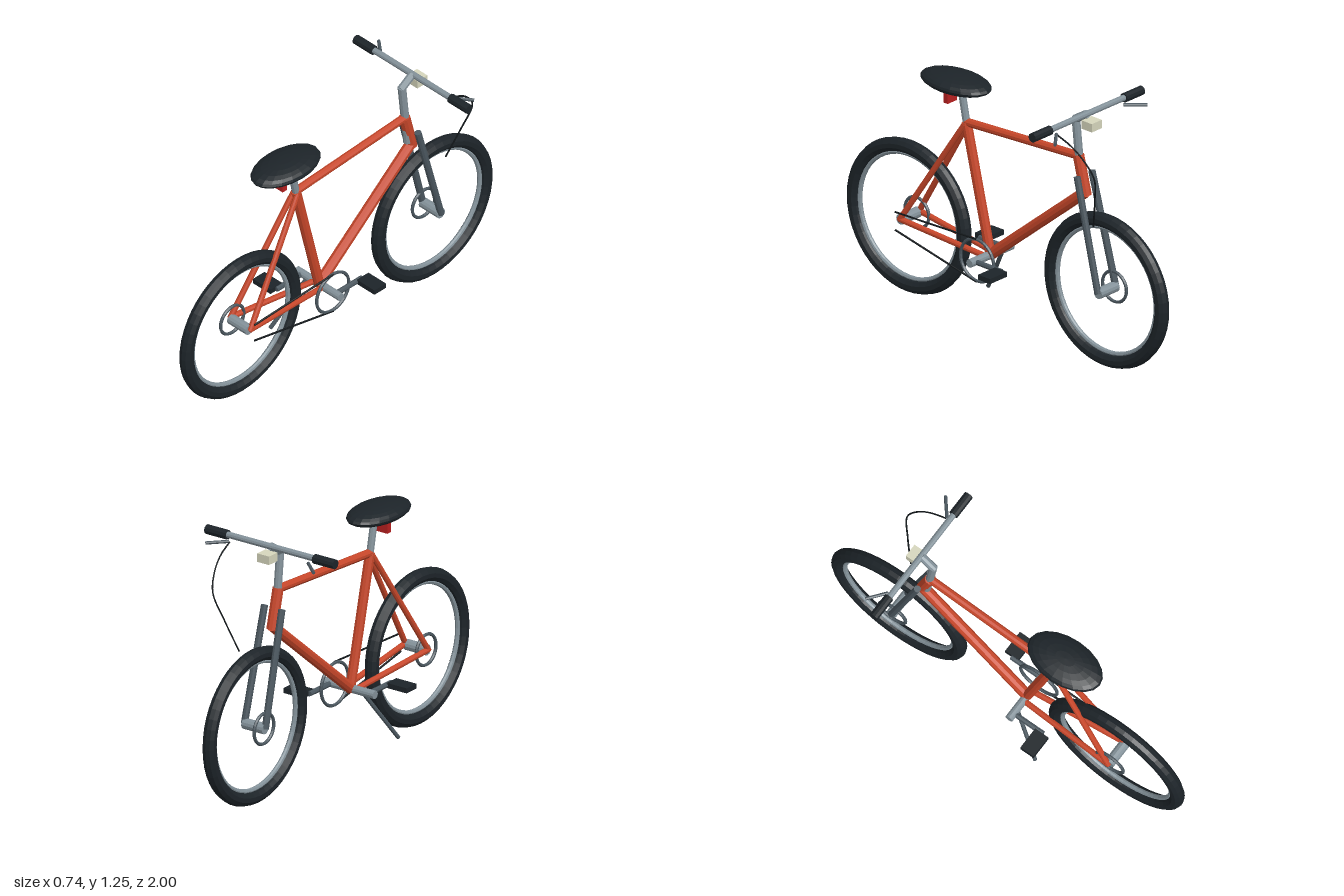
import * as THREE from 'three';

const mat = (color) => {
  const m = new THREE.MeshStandardMaterial({ color, flatShading: true });
  return m;
};

export function createModel() {
  const bike = new THREE.Group();
  bike.name = 'bicycle';
  const paint = mat(0xc8472a), steel = mat(0x84929a), darkSteel = mat(0x4b575f);
  const rubber = mat(0x1d2429), black = mat(0x12171a), red = mat(0xb82020), cream = mat(0xd6d6bd);

  const add = (name, geometry, material, x = 0, y = 0, z = 0, parent = bike) => {
    const mesh = new THREE.Mesh(geometry, material);
    mesh.name = name;
    mesh.position.set(x, y, z);
    parent.add(mesh);
    return mesh;
  };

  // Straight round tube between two points
  const rod = (name, a, b, r, material, parent = bike, sides = 10) => {
    const p = new THREE.Vector3(...a), q = new THREE.Vector3(...b);
    const d = q.clone().sub(p);
    const mesh = add(name, new THREE.CylinderGeometry(r, r, d.length(), sides), material, 0, 0, 0, parent);
    mesh.position.copy(p).add(q).multiplyScalar(0.5);
    mesh.quaternion.setFromUnitVectors(new THREE.Vector3(0, 1, 0), d.normalize());
    return mesh;
  };

  // Ring whose axle runs along x
  const ring = (name, R, tube, material, x, y, z, parent = bike, sides = 8, steps = 48) =>
    add(name, new THREE.TorusGeometry(R, tube, sides, steps).rotateY(Math.PI / 2), material, x, y, z, parent);

  const axleY = 0.382, axleZ = 0.62;

  // Wheels with tyre, rim, hub and brake disc
  for (const [name, z] of [['rearWheel', axleZ], ['frontWheel', -axleZ]]) {
    const wheel = new THREE.Group();
    wheel.name = name;
    wheel.position.set(0, axleY, z);
    bike.add(wheel);
    ring('tyre', 0.346, 0.034, rubber, 0, 0, 0, wheel, 10);
    ring('rim', 0.31, 0.012, steel, 0, 0, 0, wheel);
    rod('hub', [-0.06, 0, 0], [0.06, 0, 0], 0.026, steel, wheel, 12);
    ring('brakeDisc', 0.075, 0.008, darkSteel, -0.052, 0, 0, wheel, 6, 28);
  }

  // Frame
  const crank = [0, 0.34, 0.11], seatTop = [0, 0.962, 0.26], headTop = [0, 1.01, -0.442], headLow = [0, 0.82, -0.49];
  rod('topTube', seatTop, [0, 1.005, -0.442], 0.02, paint);
  rod('downTube', crank, [0, 0.835, -0.487], 0.027, paint);
  rod('seatTube', crank, seatTop, 0.024, paint);
  rod('headTube', headTop, headLow, 0.027, paint);
  for (const s of [1, -1]) {
    rod('seatStay', [s * 0.012, 0.955, 0.26], [s * 0.066, axleY, axleZ], 0.014, paint);
    rod('chainStay', [s * 0.03, 0.34, 0.11], [s * 0.066, axleY + 0.005, axleZ], 0.014, paint);
    rod('forkLeg', [s * 0.05, 0.925, -0.48], [s * 0.06, axleY, -axleZ], 0.017, darkSteel);
  }

  // Saddle, seat post and tail light
  rod('seatPost', [0, 0.95, 0.258], [0, 1.13, 0.295], 0.018, steel);
  add('saddle', new THREE.SphereGeometry(1, 20, 12).scale(0.116, 0.042, 0.198), rubber, 0, 1.145, 0.326);
  add('tailLight', new THREE.BoxGeometry(0.064, 0.05, 0.027), red, 0, 1.06, 0.363);

  // Stem, handlebar, grips and brake levers
  rod('steerer', [0, 0.855, -0.462], [0, 1.19, -0.426], 0.02, steel);
  rod('stem', [0, 1.182, -0.42], [0, 1.23, -0.495], 0.02, steel);
  rod('handlebar', [-0.35, 1.23, -0.495], [0.35, 1.23, -0.495], 0.015, steel);
  for (const s of [1, -1]) {
    rod('grip', [s * 0.25, 1.229, -0.495], [s * 0.37, 1.229, -0.495], 0.023, rubber);
    rod('brakeLever', [s * 0.228, 1.208, -0.515], [s * 0.312, 1.202, -0.585], 0.008, darkSteel, bike, 8);
  }
  add('headlight', new THREE.BoxGeometry(0.068, 0.042, 0.065), cream, 0, 1.187, -0.525);

  // Brake cable
  const path = new THREE.CatmullRomCurve3([
    [0.225, 1.205, -0.515], [0.215, 1.165, -0.6], [0.2, 1.105, -0.665], [0.178, 1.025, -0.705],
    [0.137, 0.89, -0.672], [0.09, 0.73, -0.62],
  ].map((p) => new THREE.Vector3(...p)));
  add('brakeCable', new THREE.TubeGeometry(path, 30, 0.004, 6), black);

  // Cranks and pedals, half a turn apart
  rod('crankAxle', [-0.143, 0.34, 0.11], [0.143, 0.34, 0.11], 0.02, steel, bike, 12);
  for (const s of [1, -1]) {
    rod('crankArm', [s * 0.108, 0.34, 0.11], [s * 0.108, 0.34, 0.11 - s * 0.17], 0.013, darkSteel, bike, 8);
    add('pedal', new THREE.BoxGeometry(0.115, 0.025, 0.075), rubber, s * 0.17, 0.34, 0.107 - s * 0.168);
  }

  // Chainring and chain runs
  ring('chainring', 0.104, 0.008, darkSteel, 0.09, 0.34, 0.11, bike, 6, 32);
  rod('chainTop', [0.094, 0.447, 0.11], [0.094, 0.43, axleZ], 0.005, black, bike, 6);
  rod('chainBottom', [0.094, 0.233, 0.11], [0.094, 0.34, axleZ], 0.005, black, bike, 6);

  // Kickstand
  rod('kickstand', [-0.08, 0.325, 0.112], [-0.157, 0.082, 0.27], 0.01, darkSteel, bike, 8);

  return bike;
}
